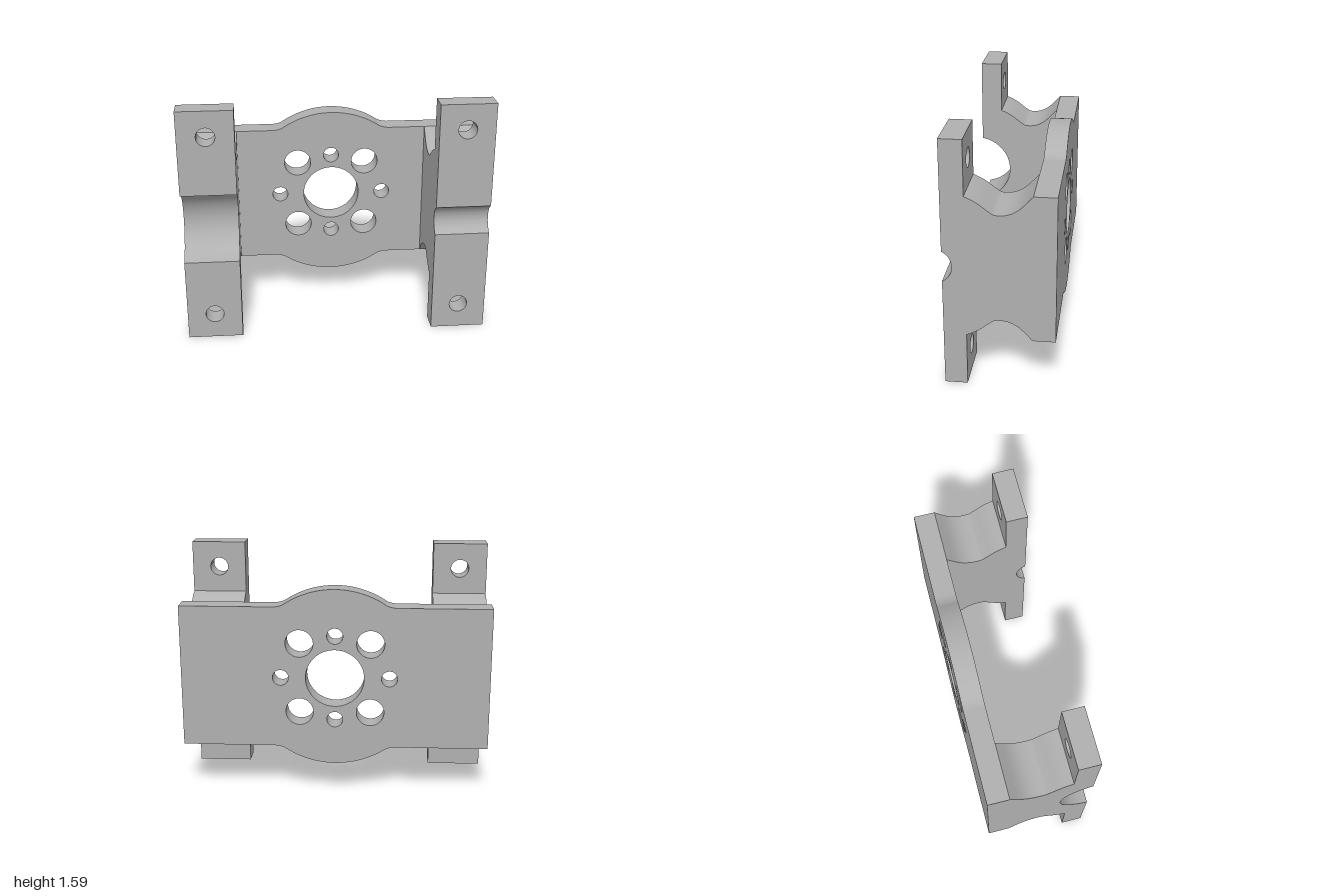
import * as THREE from 'three';
import { toCreasedNormals } from 'three/addons/utils/BufferGeometryUtils.js';

const CY = 0.793; // mid height, the bracket is symmetric about it
const V = (x, y) => new THREE.Vector2(x, y);

function circleHole(shape, x, y, r) {
  const p = new THREE.Path();
  p.absarc(x, y, r, 0, Math.PI * 2, true);
  shape.holes.push(p);
}

function extrude(shape, depth) {
  return new THREE.ExtrudeGeometry(shape, { depth, bevelEnabled: false, curveSegments: 24 });
}

export function createModel() {
  const group = new THREE.Group();
  const grey = new THREE.MeshStandardMaterial({ color: 0xb0b0b0 });
  grey.name = 'machined grey';

  const add = (name, geometry) => {
    const mesh = new THREE.Mesh(toCreasedNormals(geometry, 0.5), grey);
    mesh.name = name;
    group.add(mesh);
  };

  // Back plate: bar with a round bulge above and below
  const half = 0.468, bulge = 0.585, ax = 0.33;
  const a = Math.acos(ax / bulge), ay = Math.sin(a) * bulge;
  const plate = new THREE.Shape();
  plate.moveTo(1, CY - half);
  plate.lineTo(1, CY + half);
  plate.lineTo(0.4, CY + half);
  plate.quadraticCurveTo(0.365, CY + half, ax, CY + ay);
  plate.absarc(0, CY, bulge, a, Math.PI - a, false);
  plate.quadraticCurveTo(-0.365, CY + half, -0.4, CY + half);
  plate.lineTo(-1, CY + half);
  plate.lineTo(-1, CY - half);
  plate.lineTo(-0.4, CY - half);
  plate.quadraticCurveTo(-0.365, CY - half, -ax, CY - ay);
  plate.absarc(0, CY, bulge, Math.PI + a, 2 * Math.PI - a, false);
  plate.quadraticCurveTo(0.365, CY - half, 0.4, CY - half);

  // Bore and the ring of bolt holes
  circleHole(plate, 0, CY, 0.19);
  for (const s of [-1, 1]) {
    circleHole(plate, 0.353 * s, CY, 0.052);
    circleHole(plate, 0, CY + 0.28 * s, 0.052);
    for (const t of [-1, 1]) circleHole(plate, 0.23 * s, CY + 0.229 * t, 0.09);
  }
  add('backPlate', extrude(plate, 0.14).translate(0, 0, -0.34));

  // Scooped upper edge of an arm, as z and height above the middle
  const scoop = new THREE.SplineCurve([
    V(-0.2, 0.468), V(-0.12, 0.385), V(-0.05, 0.348), V(0.02, 0.343),
    V(0.06, 0.365), V(0.13, 0.417), V(0.2, 0.452),
  ]).getPoints(24);

  // Side arms: side profile with a round groove across the front
  function arm(side, name, halfWidth, depth) {
    const r = (halfWidth ** 2 + depth ** 2) / (2 * depth);
    const zc = 0.34 - depth + r;
    const span = Math.asin(halfWidth / r);
    const pts = scoop.map((p) => V(-p.x, CY + p.y));
    pts.push(V(-0.34, CY + 0.452));
    for (let i = 0; i <= 28; i++) {
      const t = span * (1 - i / 14);
      pts.push(V(-(zc - r * Math.cos(t)), CY + r * Math.sin(t)));
    }
    pts.push(V(-0.34, CY - 0.452));
    for (const p of [...scoop].reverse()) pts.push(V(-p.x, CY - p.y));
    const x0 = side > 0 ? 0.64 : -1;
    add(name + 'Arm', extrude(new THREE.Shape(pts), 0.36).rotateY(Math.PI / 2).translate(x0, 0, 0));

    // Mounting tabs with a bolt hole, above and below
    for (const [y0, y1, hole, label] of [
      [CY + 0.452, 1.586, 1.417, 'UpperTab'],
      [0, CY - 0.452, 0.172, 'LowerTab'],
    ]) {
      const tab = new THREE.Shape([V(x0, y0), V(x0 + 0.36, y0), V(x0 + 0.36, y1), V(x0, y1)]);
      circleHole(tab, 0.82 * side, hole, 0.06);
      add(name + label, extrude(tab, 0.14).translate(0, 0, 0.2));
    }
  }
  arm(-1, 'right', 0.235, 0.2);
  arm(1, 'left', 0.097, 0.06);

  return group;
}
